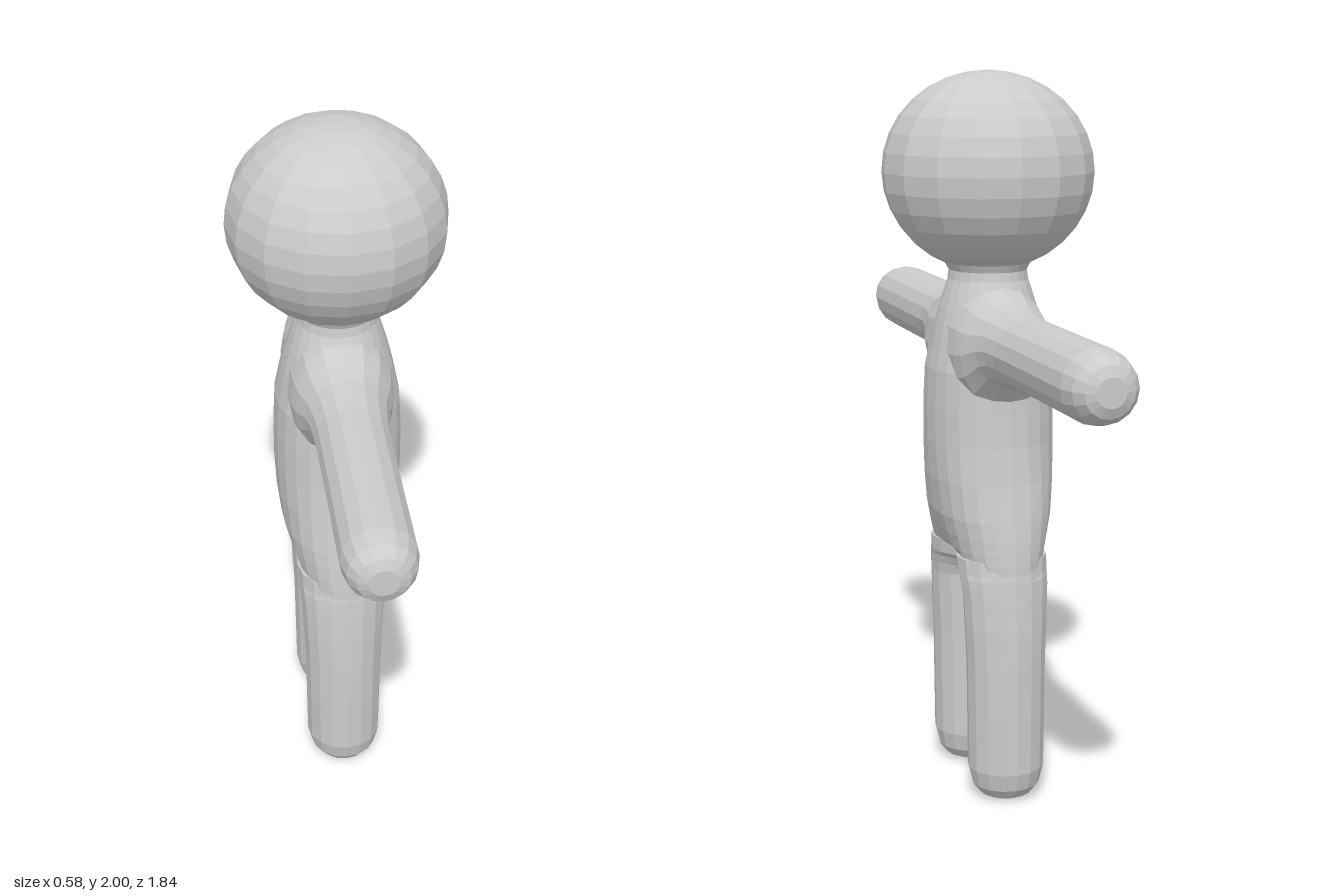
import * as THREE from 'three';

const SIDES = 16;
const material = new THREE.MeshStandardMaterial({ color: 0xcccccc, flatShading: true });

// Skins a list of rings (arrays of Vector3) and closes both ends.
function loft(rings) {
  const pos = [], index = [], n = rings[0].length;
  rings.forEach(r => r.forEach(p => pos.push(p.x, p.y, p.z)));
  for (let j = 0; j < rings.length - 1; j++) {
    for (let i = 0; i < n; i++) {
      const a = j * n + i, b = j * n + (i + 1) % n;
      index.push(a, a + n, b, b, a + n, b + n);
    }
  }
  [0, rings.length - 1].forEach((j, end) => {
    const c = rings[j].reduce((s, p) => s.add(p), new THREE.Vector3()).divideScalar(n);
    const centre = pos.length / 3;
    pos.push(c.x, c.y, c.z);
    for (let i = 0; i < n; i++) {
      const a = j * n + i, b = j * n + (i + 1) % n;
      index.push(centre, end ? b : a, end ? a : b);
    }
  });
  const g = new THREE.BufferGeometry();
  g.setAttribute('position', new THREE.Float32BufferAttribute(pos, 3));
  g.setIndex(index);
  g.computeVertexNormals();
  return g;
}

// Superellipse ring: place(u, v) puts the flat outline into space.
function ring(hu, hv, power, place, sides = SIDES) {
  return Array.from({ length: sides }, (_, i) => {
    const a = (i / sides) * Math.PI * 2;
    const c = Math.cos(a), s = Math.sin(a);
    const bend = t => Math.sign(t) * Math.pow(Math.abs(t), 2 / power);
    return place(hu * bend(c), hv * bend(s));
  });
}

export function createModel() {
  const model = new THREE.Group();
  model.name = 'figure';
  const add = (name, geometry) => {
    const mesh = new THREE.Mesh(geometry, material);
    mesh.name = name;
    model.add(mesh);
    return mesh;
  };

  // Head
  const head = add('head', new THREE.SphereGeometry(0.29, 16, 16));
  head.scale.y = 0.27 / 0.29;
  head.position.y = 1.73;

  // Torso and neck: height, half depth x, half width z, squareness, pinch above the crotch
  const torso = [
    [0.655, 0.125, 0.247, 2.4, 0.7], [0.68, 0.13, 0.246, 2.4, 0.35],
    [0.71, 0.138, 0.243, 2.4, 0.14], [0.75, 0.147, 0.238, 2.4, 0.04],
    [0.8, 0.158, 0.23, 2.4, 0], [0.9, 0.17, 0.212, 2.3, 0],
    [1.0, 0.175, 0.2, 2.2, 0], [1.1, 0.175, 0.194, 2.2, 0],
    [1.2, 0.17, 0.19, 2.2, 0], [1.3, 0.15, 0.175, 2.1, 0],
    [1.36, 0.135, 0.153, 2, 0], [1.4, 0.123, 0.135, 2, 0],
    [1.44, 0.11, 0.117, 2, 0], [1.465, 0.107, 0.113, 2, 0],
    [1.485, 0.118, 0.122, 2, 0], [1.51, 0.16, 0.162, 2, 0],
  ];
  add('torso', loft(torso.map(([y, hx, hz, power, pinch]) =>
    ring(hx, hz, power, (x, z) =>
      new THREE.Vector3(x * (1 - pinch * Math.exp(-((z / 0.08) ** 2))), y, z), 24))));

  // Legs: height, half depth x, inner z, outer z
  const leg = [
    [0, 0.045, 0.115, 0.205], [0.012, 0.072, 0.088, 0.232],
    [0.04, 0.094, 0.067, 0.253], [0.09, 0.106, 0.056, 0.265],
    [0.25, 0.108, 0.056, 0.266], [0.4, 0.11, 0.056, 0.264],
    [0.5, 0.115, 0.056, 0.26], [0.58, 0.118, 0.054, 0.254],
    [0.61, 0.121, 0.045, 0.251], [0.635, 0.123, 0.028, 0.249],
    [0.65, 0.125, 0, 0.247], [0.69, 0.126, -0.01, 0.24],
  ];
  // Arms: distance z, half depth x, bottom y, top y
  const arm = [
    [0.06, 0.145, 1.06, 1.44], [0.13, 0.14, 1.08, 1.425],
    [0.17, 0.132, 1.105, 1.408], [0.2, 0.122, 1.135, 1.396],
    [0.235, 0.112, 1.168, 1.387], [0.28, 0.104, 1.184, 1.382],
    [0.34, 0.098, 1.188, 1.377], [0.55, 0.096, 1.188, 1.377],
    [0.83, 0.096, 1.188, 1.377], [0.88, 0.085, 1.199, 1.367],
    [0.908, 0.065, 1.218, 1.347], [0.92, 0.038, 1.245, 1.32],
  ];
  const legGeometry = loft(leg.map(([y, hx, z0, z1]) =>
    ring(hx, (z1 - z0) / 2, 2, (x, z) => new THREE.Vector3(x, y, (z0 + z1) / 2 + z))));
  const armGeometry = loft(arm.map(([z, hx, y0, y1]) =>
    ring(hx, (y1 - y0) / 2, 2, (x, y) => new THREE.Vector3(x, (y0 + y1) / 2 - y, z))));

  // Both limbs are symmetric front to back, so a half turn makes the other side
  ['One', 'Two'].forEach((side, i) => {
    add('leg' + side, legGeometry).rotation.y = i * Math.PI;
    add('arm' + side, armGeometry).rotation.y = i * Math.PI;
  });
  return model;
}
